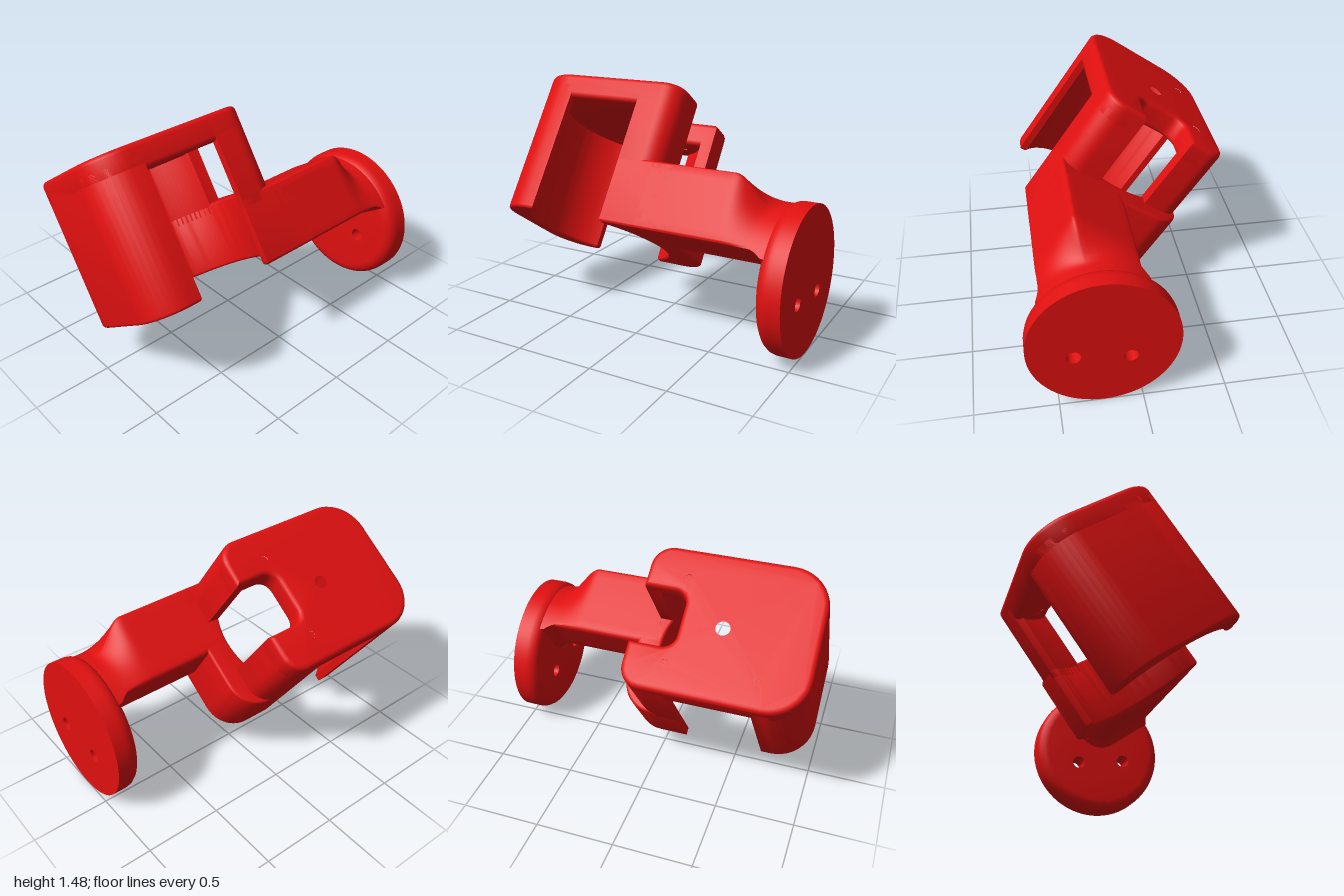
import * as THREE from 'three';
import { toCreasedNormals } from 'three/addons/utils/BufferGeometryUtils.js';

const W = 0.89;              // body width
const MID = W / 2;
const CAV = 0.47;            // radius of the round cavity
const CZ = 0.45;             // cavity axis depth
const V0 = 0.257, V1 = 1.2;  // bottom and top of the body

const arc = (cx, cy, r, a0, a1, n = 10) => Array.from({ length: n + 1 }, (_, i) => {
  const a = a0 + (a1 - a0) * i / n;
  return [cx + r * Math.cos(a), cy + r * Math.sin(a)];
});
const mirror = pts => pts.map(([u, s]) => [W - u, s]);

// Extrudes an outline from a0 to a1 with rounded rims; hole bores stay straight
function solid(pts, holes, a0, a1, b, rule, steps = 1) {
  const shape = new THREE.Shape(pts.map(p => new THREE.Vector2(...p)));
  for (const [x, y, r] of holes) {
    shape.holes.push(new THREE.Path().absarc(x, y, r, 0, Math.PI * 2, true));
  }
  const geo = new THREE.ExtrudeGeometry(shape, {
    depth: a1 - a0 - 2 * b, steps, curveSegments: 10, bevelEnabled: b > 0,
    bevelThickness: b, bevelSize: b, bevelOffset: -b, bevelSegments: 4,
  });
  geo.translate(0, 0, a0 + b);
  const pos = geo.attributes.position;
  for (let i = 0; i < pos.count; i++) {
    let x = pos.getX(i), y = pos.getY(i);
    const z = pos.getZ(i);
    let inBore = false;
    for (const [hx, hy, r] of holes) {
      const d = Math.hypot(x - hx, y - hy);
      if (d < r + b + 0.005) {
        x = hx + (x - hx) * r / d;
        y = hy + (y - hy) * r / d;
        inBore = true;
      }
    }
    if (rule && !inBore) [x, y] = rule(x, y, z);
    pos.setXY(i, x, y);
  }
  return geo;
}

export function createModel() {
  const model = new THREE.Group();
  const tilted = new THREE.Group();
  tilted.name = 'bracket';
  tilted.rotation.z = THREE.MathUtils.degToRad(35);
  model.add(tilted);
  const material = new THREE.MeshStandardMaterial({ color: 0xe01010 });
  const add = (name, geo) => {
    const mesh = new THREE.Mesh(toCreasedNormals(geo, 0.6), material);
    mesh.name = name;
    tilted.add(mesh);
  };
  // Outlines of the body are drawn as (u, -z) and raised along the body's height
  const upright = (name, pts, holes, a0, a1, b) =>
    add(name, solid(pts, holes, a0, a1, b).rotateX(-Math.PI / 2));

  const PI = Math.PI;
  const edge = Math.asin((CZ - 0.2) / CAV);   // where the cavity meets the side slot
  const frontCorner = arc(0.24, -0.76, 0.24, PI, 1.5 * PI);
  const backCorner = arc(0.13, -0.06, 0.13, PI, PI / 2);

  // Top plate with cable notch and screw holes
  const notch = [[0.27, 0.07], ...arc(0.35, -0.12, 0.08, PI, 1.5 * PI, 6)];
  const half = [...[...frontCorner].reverse(), ...backCorner, ...notch];
  upright('topPlate', [...half, ...mirror(half).reverse()],
    [[0.435, -0.45, 0.043], [0.17, -0.18, 0.025], [0.70, -0.18, 0.025], [0.17, -0.71, 0.025]],
    1.04, V1, 0.03);

  // Front wall, hollowed by the cavity
  upright('frontWall', [
    [0, -0.7], ...frontCorner, ...mirror(frontCorner).reverse(), [W, -0.7],
    ...arc(MID, -CZ, CAV, -edge, -PI + edge, 28),
  ], [], V0, 1.14, 0.018);

  // Back wall posts on both sides of the window
  const post = [
    [0, -0.2], ...backCorner, [0.27, 0.07],
    ...arc(MID, -CZ, CAV, PI - Math.acos(0.175 / CAV), PI - edge, 10),
  ];
  upright('rightBackPost', post, [], 0.6, 1.14, 0.015);
  upright('leftBackPost', mirror(post), [], 0.6, 1.14, 0.015);

  // Thicker lower back wall below the window
  upright('lowerBackWall', [
    [0, -0.2], ...arc(0.2, -0.02, 0.2, PI, PI / 2), [W, 0.18], [W, -0.2],
    ...arc(MID, -CZ, CAV, edge, PI - edge, 28),
  ], [], V0, 0.68, 0.018);

  // Arm, trimmed to the round flange towards its end
  const DV = 0.237, R = 0.45;
  const corners = [
    ...arc(0.47, 0.65, 0.03, PI, PI / 2, 4), ...arc(0.87, 0.66, 0.02, PI / 2, 0, 4),
    ...arc(0.87, 0.277, 0.02, 0, -PI / 2, 4), ...arc(0.57, 0.397, 0.14, -PI / 2, -PI, 8),
  ];
  const section = corners.flatMap(([x, y], i) => {
    const [nx, ny] = corners[(i + 1) % corners.length];
    const n = Math.max(1, Math.round(Math.hypot(nx - x, ny - y) / 0.04));
    return Array.from({ length: n }, (_, k) => [x + (nx - x) * k / n, y + (ny - y) * k / n]);
  });
  add('arm', solid(section, [], -0.9, -0.04, 0, (x, y, z) => {
    const flare = 1 + 0.22 * THREE.MathUtils.clamp((-0.76 - z) / 0.08, 0, 1) ** 2;
    x = 0.66 + (x - 0.66) * flare;
    y = 0.45 + (y - 0.45) * flare;
    const t = THREE.MathUtils.smoothstep(-z, 0.58, 0.8);
    const d = Math.hypot(x - MID, y - DV);
    const k = d > 0.43 ? 1 + t * (0.43 / d - 1) : 1;
    return [MID + (x - MID) * k, DV + (y - DV) * k];
  }, 40));

  // Round flange: soft rim towards the arm, flat back face
  add('flange', solid(arc(MID, DV, R, 0, 2 * PI, 72).slice(0, -1),
    [[0.257, 0.235, 0.043], [0.547, 0.075, 0.043]], -1, -0.84, 0.07, (x, y, z) => {
      const d = Math.hypot(x - MID, y - DV);
      const k = z < -0.92 && d > 0.3 ? R / d : 1;
      return [MID + (x - MID) * k, DV + (y - DV) * k];
    }));

  return model;
}
